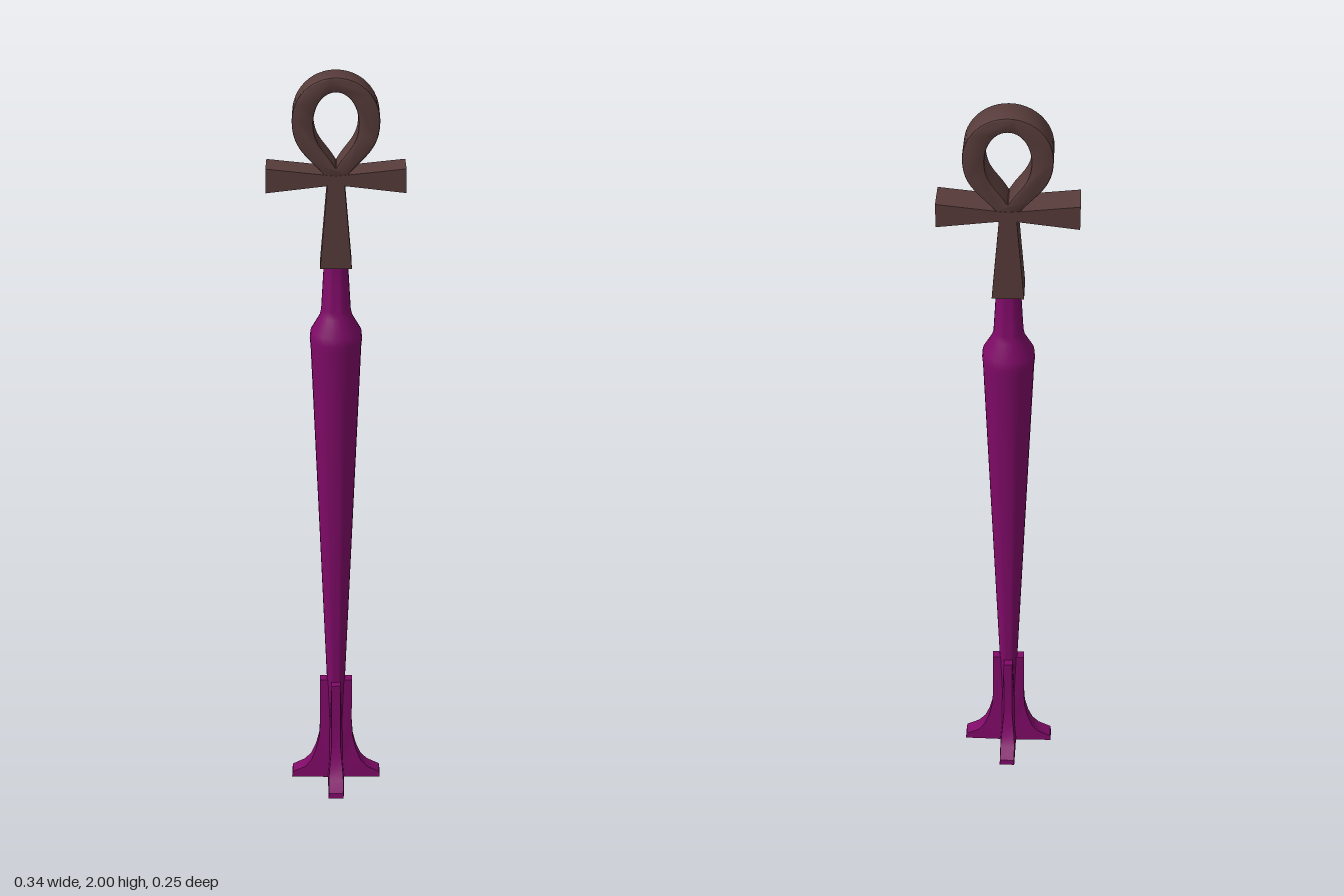
import * as THREE from 'three';
import { toCreasedNormals } from 'three/addons/utils/BufferGeometryUtils.js';

const purple = new THREE.MeshStandardMaterial({ color: 0x800a68 });
const brown = new THREE.MeshStandardMaterial({ color: 0x573c3a });
const Z_MID = -0.0045, DEPTH = 0.085;

function polygon(points) {
  return new THREE.Shape(points.map(([x, y]) => new THREE.Vector2(x, y)));
}

// Extrusion centred on z = 0, with an optional small bevel inside the outline
function slab(shape, depth, bevel = 0) {
  const g = new THREE.ExtrudeGeometry(shape, {
    depth: depth - 2 * bevel, curveSegments: 12, bevelEnabled: bevel > 0,
    bevelThickness: bevel, bevelSize: bevel, bevelOffset: -bevel, bevelSegments: 2,
  });
  return g.translate(0, 0, -depth / 2 + bevel);
}

function add(parent, name, geometry, material, crease = 0.6) {
  const mesh = new THREE.Mesh(toCreasedNormals(geometry, crease), material);
  mesh.name = name;
  parent.add(mesh);
  return mesh;
}

// Teardrop outline: pointed at the bottom, round at the top
function teardrop(path, tipHalf, bottom, half, middle, top) {
  const k = 0.56, rise = (top - middle) * k;
  path.moveTo(tipHalf, bottom);
  path.bezierCurveTo(tipHalf + half * 0.45, bottom + (middle - bottom) * 0.4,
    half, middle - (middle - bottom) * 0.5, half, middle);
  path.bezierCurveTo(half, middle + rise, half * k, top, 0, top);
  path.bezierCurveTo(-half * k, top, -half, middle + rise, -half, middle);
  path.bezierCurveTo(-half, middle - (middle - bottom) * 0.5,
    -tipHalf - half * 0.45, bottom + (middle - bottom) * 0.4, -tipHalf, bottom);
  return path;
}

export function createModel() {
  const model = new THREE.Group();

  // Looped cross on top
  const head = new THREE.Group();
  head.name = 'loopedCross';
  head.position.z = Z_MID;
  model.add(head);

  const loop = teardrop(new THREE.Shape(), 0.017, 1.75, 0.105, 1.895, 2);
  loop.holes.push(teardrop(new THREE.Path(), 0.001, 1.782, 0.054, 1.89, 1.964));
  add(head, 'loop', slab(loop, DEPTH - 0.002, 0.004), brown);

  add(head, 'crossbar', slab(polygon([
    [-0.169, 1.72], [0, 1.74], [0.169, 1.72], [0.169, 1.78], [0, 1.762], [-0.169, 1.78],
  ]), DEPTH), brown, 0.1);

  add(head, 'stem', slab(polygon([
    [-0.039, 1.527], [0.039, 1.527], [0.019, 1.76], [-0.019, 1.76],
  ]), DEPTH), brown, 0.1);

  // Tapered round shaft with a shoulder and a neck
  const shaft = [[0, 0.01], [0.022, 0.01], [0.025, 0.32], [0.064, 1.31], [0.066, 1.33],
    [0.064, 1.352], [0.041, 1.392], [0.037, 1.41], [0.03, 1.53], [0, 1.53]];
  add(model, 'shaft', new THREE.LatheGeometry(
    shaft.map(([r, y]) => new THREE.Vector2(r, y)), 24), purple, 0.7);

  // Four flared fins, thicker towards the ground
  const foot = new THREE.Group();
  foot.name = 'foot';
  model.add(foot);
  const fin = polygon([[0, 0], [0.124, 0], [0.122, 0.016], [0.087, 0.034], [0.069, 0.056],
    [0.056, 0.09], [0.047, 0.13], [0.044, 0.18], [0.044, 0.318], [0, 0.318]]);
  for (let i = 0; i < 4; i++) {
    const g = slab(fin, 2);
    const p = g.attributes.position;
    for (let v = 0; v < p.count; v++) {
      const spread = Math.max(0, 1 - p.getY(v) / 0.13);
      const taper = p.getX(v) > 0.1 ? 0.002 : 0;
      p.setZ(v, p.getZ(v) * (0.012 + 0.011 * spread - taper));
    }
    add(foot, 'fin', g, purple).rotation.y = i * Math.PI / 2;
  }
  return model;
}
